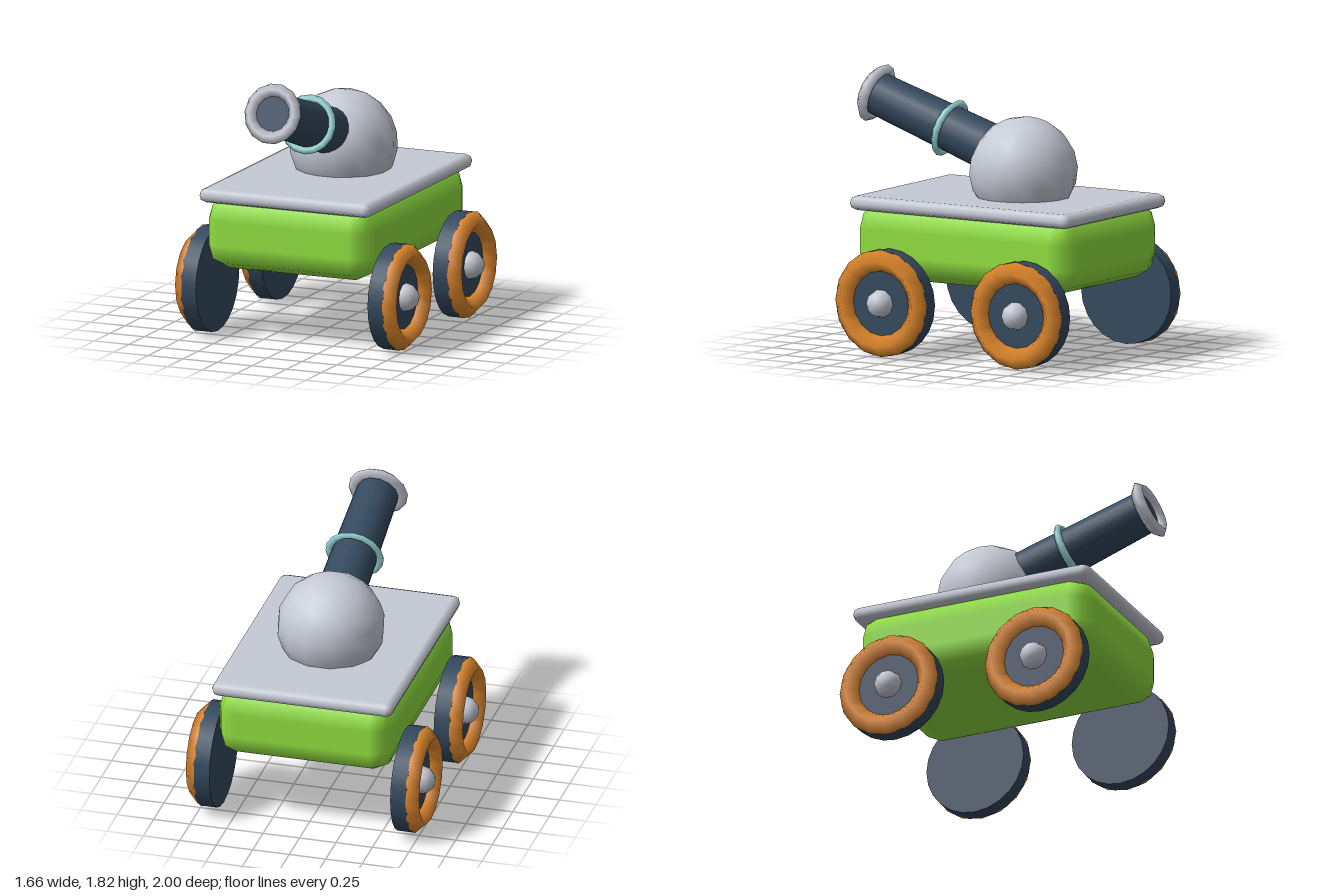
import * as THREE from 'three';
import { RoundedBoxGeometry } from 'three/addons/geometries/RoundedBoxGeometry.js';

function material(name, color) {
  const m = new THREE.MeshStandardMaterial({ color });
  m.name = name;
  return m;
}

function addMesh(parent, name, geometry, mat, x = 0, y = 0, z = 0) {
  const mesh = new THREE.Mesh(geometry, mat);
  mesh.name = name;
  mesh.position.set(x, y, z);
  parent.add(mesh);
  return mesh;
}

export function createModel() {
  const model = new THREE.Group();
  model.name = 'toyCannonCart';
  const silver = material('silver', 0xc6cad5);
  const navy = material('navy', 0x34495e);
  const lime = material('lime', 0x90de40);
  const orange = material('orange', 0xe0882c);
  const teal = material('teal', 0x9edada);

  // Cart body, its rounding stretched a little in height
  const bodyGeometry = new RoundedBoxGeometry(1.2, 0.42, 1.68, 1, 0.14);
  bodyGeometry.scale(1, 1.2, 1);
  addMesh(model, 'body', bodyGeometry, lime, 0, 0.737, -0.11);

  // Deck plate
  addMesh(model, 'deck', new RoundedBoxGeometry(1.24, 0.096, 1.72, 1, 0.047), silver, 0, 0.988, -0.11);

  // Cannon, with its barrel along local +z and pitched upward
  const cannon = new THREE.Group();
  cannon.name = 'cannon';
  cannon.position.set(0, 1.254, -0.235);
  cannon.rotation.x = -0.32;
  model.add(cannon);
  const barrel = new THREE.CylinderGeometry(0.142, 0.164, 1.21, 20);
  barrel.rotateX(Math.PI / 2);
  addMesh(cannon, 'barrel', barrel, navy, 0, 0, 0.605);
  addMesh(cannon, 'muzzleRing', new THREE.TorusGeometry(0.16, 0.043, 4, 14), silver, 0, 0, 1.21);
  addMesh(cannon, 'barrelBand', new THREE.TorusGeometry(0.173, 0.027, 4, 16), teal, 0, 0, 0.606);

  // Domed turret
  const dome = addMesh(model, 'turret', new THREE.SphereGeometry(0.36, 14, 10), silver, 0, 1.205, -0.235);
  dome.rotation.x = -0.32;

  // Wheels: navy disc, orange tyre ring and silver hub, facing outward along local +z
  const disc = new THREE.CylinderGeometry(0.353, 0.353, 0.11, 24);
  disc.rotateX(Math.PI / 2);
  const tyre = new THREE.TorusGeometry(0.286, 0.072, 4, 16);
  const hub = new THREE.SphereGeometry(0.095, 10, 6);
  hub.rotateX(Math.PI / 2);
  for (const [end, z] of [['front', 0.415], ['rear', -0.642]]) {
    for (const [side, s] of [['Left', 1], ['Right', -1]]) {
      const wheel = new THREE.Group();
      wheel.name = end + side + 'Wheel';
      wheel.position.set(s * 0.62, 0.358, z);
      wheel.rotation.y = s * Math.PI / 2;
      addMesh(wheel, 'wheelDisc', disc, navy, 0, 0, 0.055);
      addMesh(wheel, 'tyreRing', tyre, orange, 0, 0, 0.108);
      addMesh(wheel, 'hub', hub, silver, 0, 0, 0.115);
      model.add(wheel);
    }
  }
  return model;
}
